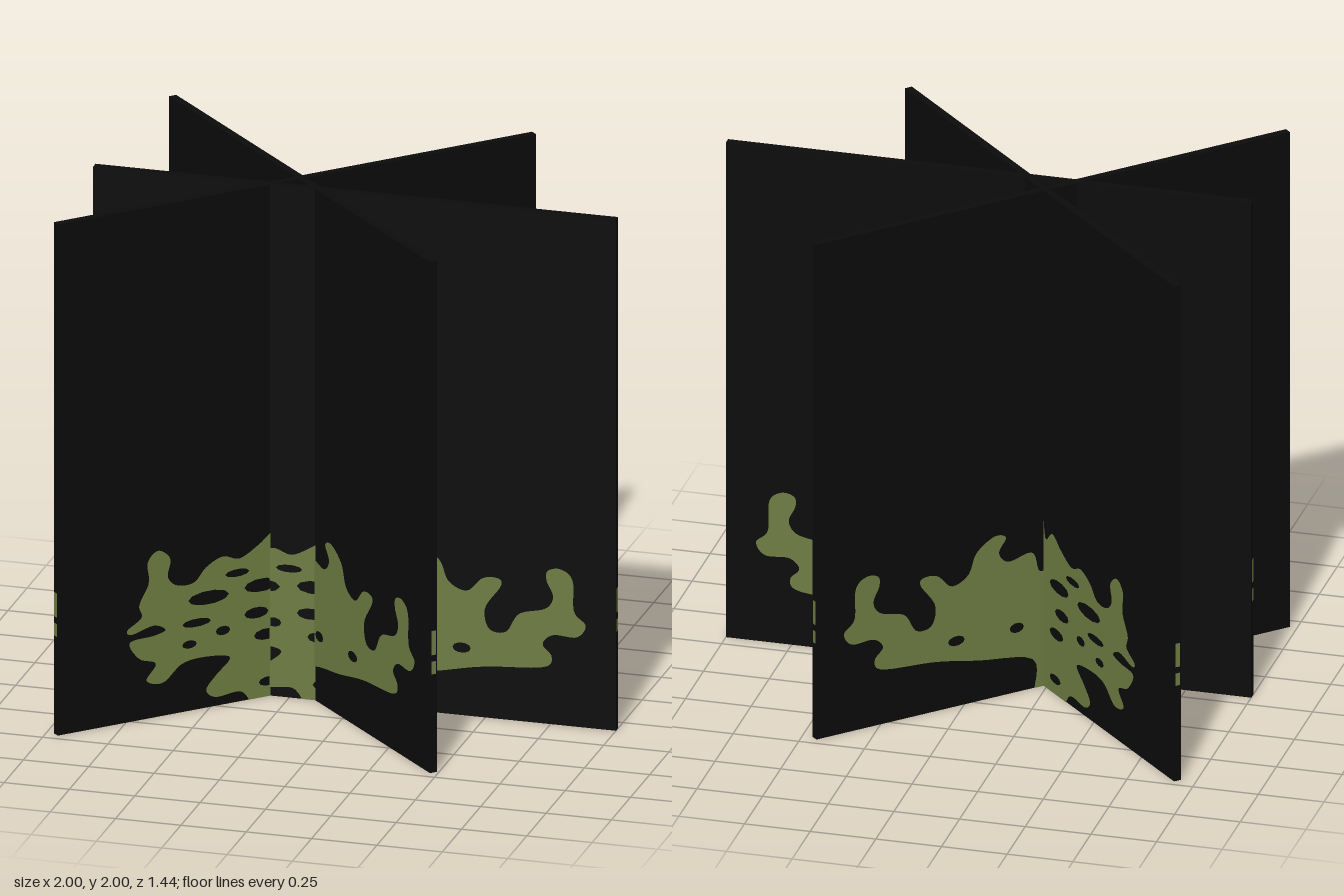
import * as THREE from 'three';

const black = new THREE.MeshStandardMaterial({ color: 0x0b0b0b });
black.name = 'black';
const green = new THREE.MeshStandardMaterial({ color: 0x6e7c42, side: THREE.DoubleSide });
green.name = 'mossGreen';

const SIZE = 2, THICK = 0.03, LIFT = 0.002;

// Right half of the foliage, from the base up to the middle.
const rightEdge = [
  [0.09, 0.12], [0.32, 0.165], [0.5, 0.2], [0.72, 0.22], [0.755, 0.265], [0.72, 0.31], [0.76, 0.35], [0.85, 0.35],
  [0.885, 0.4], [0.84, 0.45], [0.835, 0.57], [0.79, 0.61], [0.74, 0.6], [0.735, 0.56], [0.76, 0.5], [0.73, 0.45],
  [0.63, 0.42], [0.58, 0.345], [0.515, 0.35], [0.5, 0.43], [0.56, 0.52], [0.55, 0.55], [0.49, 0.545], [0.43, 0.49],
  [0.36, 0.52], [0.325, 0.6], [0.25, 0.65], [0.2, 0.635], [0.23, 0.58], [0.19, 0.535], [0.09, 0.55], [0.06, 0.47],
];

// Left half, from the middle down to the base.
const leftEdge = [
  [0.02, 0.5], [0, 0.69], [-0.03, 0.69], [-0.05, 0.6], [-0.1, 0.64], [-0.16, 0.6], [-0.24, 0.56], [-0.31, 0.58],
  [-0.38, 0.55], [-0.43, 0.5], [-0.5, 0.5], [-0.54, 0.54], [-0.53, 0.61], [-0.58, 0.65], [-0.625, 0.61],
  [-0.62, 0.53], [-0.66, 0.45], [-0.65, 0.4], [-0.71, 0.36], [-0.69, 0.34], [-0.6, 0.36], [-0.55, 0.335],
  [-0.6, 0.32], [-0.7, 0.31], [-0.66, 0.24], [-0.59, 0.21], [-0.63, 0.15], [-0.56, 0.13], [-0.48, 0.19],
  [-0.38, 0.2], [-0.28, 0.18], [-0.34, 0.12], [-0.38, 0.07], [-0.34, 0.035], [-0.24, 0.04], [-0.2, 0],
];

// Gaps between the leaves: x, y, half width, half height
const gaps = [
  [-0.37, 0.43, 0.085, 0.027], [-0.15, 0.44, 0.07, 0.026], [-0.42, 0.34, 0.06, 0.016], [-0.17, 0.335, 0.05, 0.022],
  [-0.31, 0.29, 0.03, 0.018], [-0.13, 0.245, 0.05, 0.022], [-0.25, 0.505, 0.05, 0.015], [-0.12, 0.06, 0.04, 0.018],
  [-0.45, 0.26, 0.03, 0.016], [0.155, 0.26, 0.03, 0.02], [0.41, 0.265, 0.035, 0.02],
];

function foliageShape() {
  const shape = new THREE.Shape();
  shape.moveTo(0.08, 0);
  shape.splineThru([...rightEdge, ...leftEdge].map(([x, y]) => new THREE.Vector2(x, y)));
  for (const [x, y, rx, ry] of gaps) {
    const gap = new THREE.Path();
    gap.absellipse(x, y, rx, ry, 0, Math.PI * 2, true);
    shape.holes.push(gap);
  }
  return shape;
}

function addMesh(parent, name, geometry, material, x, y, z) {
  const mesh = new THREE.Mesh(geometry, material);
  mesh.name = name;
  mesh.position.set(x, y, z);
  parent.add(mesh);
  return mesh;
}

export function createModel() {
  const model = new THREE.Group();
  model.name = 'crossedFoliagePanels';
  const board = new THREE.BoxGeometry(SIZE, SIZE, THICK);
  const foliage = new THREE.ShapeGeometry(foliageShape(), 5);

  // One board with foliage on both faces and small marks on its ends
  function addPanel(name, x, z, turn) {
    const panel = new THREE.Group();
    panel.name = name;
    panel.position.set(x, 0, z);
    panel.rotation.y = turn;
    addMesh(panel, 'board', board, black, 0, SIZE / 2, 0);
    for (const side of [-1, 1]) {
      addMesh(panel, 'foliage', foliage, green, 0, 0, side * (THICK / 2 + LIFT));
      for (const [low, high] of [[0.385, 0.435], [0.46, 0.555]]) {
        const mark = new THREE.PlaneGeometry(0.02, high - low);
        const end = addMesh(panel, 'endMark', mark, green, side * (SIZE / 2 + 0.001), (low + high) / 2, 0);
        end.rotation.y = side * Math.PI / 2;
      }
    }
    model.add(panel);
  }

  addPanel('straightPanel', 0, 0.075, 0);
  addPanel('leftDiagonalPanel', -0.225, -0.005, -Math.PI / 4);
  addPanel('rightDiagonalPanel', -0.255, 0, Math.PI / 4);
  return model;
}
